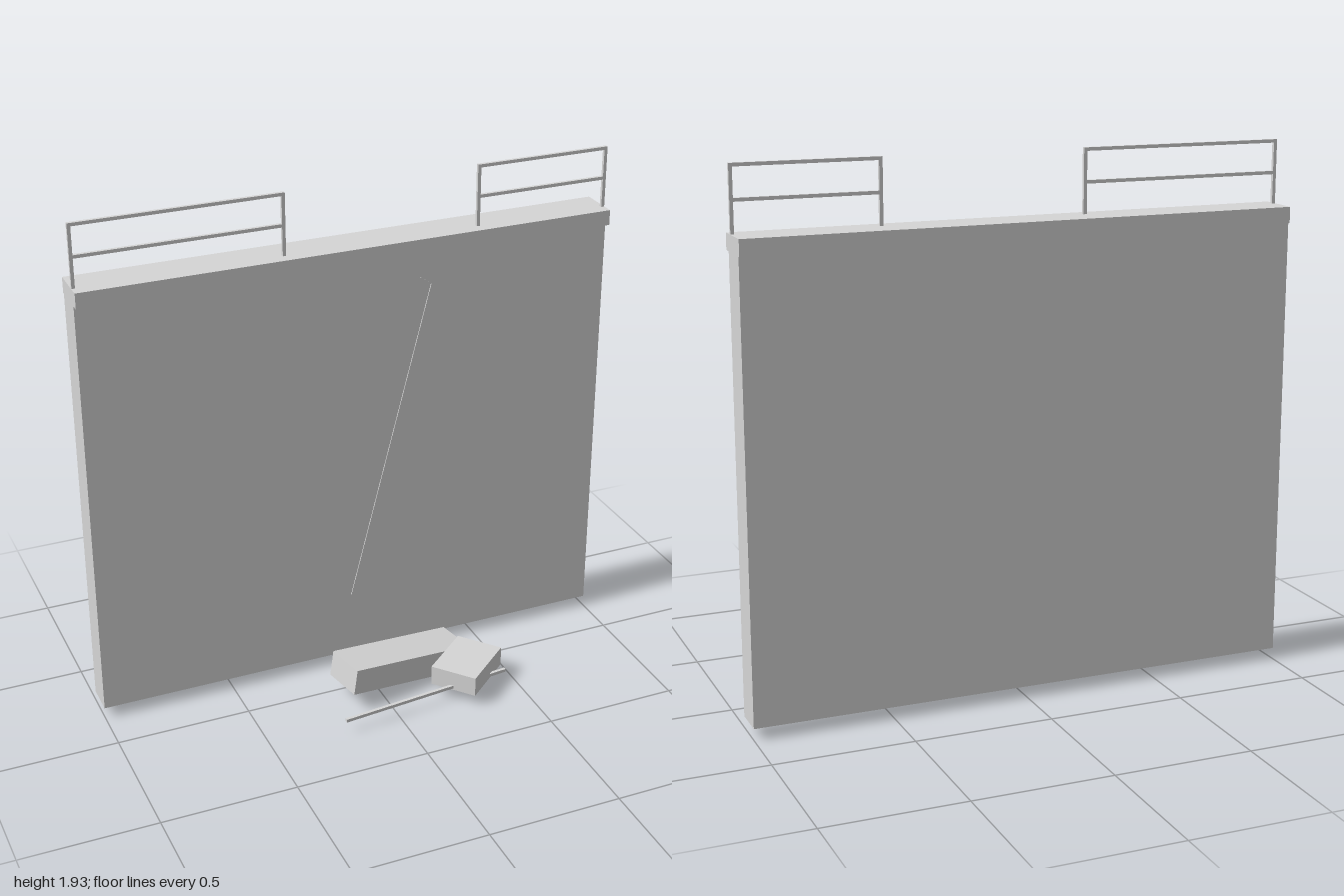
import * as THREE from 'three';

const concrete = new THREE.MeshStandardMaterial({ color: 0xd6d6d6 });
concrete.name = 'concrete grey';

export function createModel() {
  const model = new THREE.Group();
  model.name = 'brokenWall';

  // Box given by its size, centre and optional yaw / roll
  function box(name, size, pos, yaw = 0, roll = 0, parent = model) {
    const mesh = new THREE.Mesh(new THREE.BoxGeometry(...size), concrete);
    mesh.name = name;
    mesh.position.set(...pos);
    mesh.rotation.set(0, yaw, roll, 'YXZ');
    parent.add(mesh);
  }

  // Wall slab and overhanging coping
  box('wall', [2, 1.6, 0.12], [0, 0.843, -0.229]);
  box('coping', [2, 0.057, 0.158], [0, 1.671, -0.219]);

  // Two railing sections with a gap between them
  const t = 0.012, railZ = -0.188;
  for (const [name, x0, x1] of [['rightRailing', -0.993, -0.25], ['leftRailing', 0.488, 0.993]]) {
    const railing = new THREE.Group();
    railing.name = name;
    model.add(railing);
    for (const x of [x0, x1]) box('post', [t, 0.23, t], [x, 1.813, railZ], 0, 0, railing);
    for (const y of [1.922, 1.81]) {
      box('rail', [x1 - x0 + t, t, t], [(x0 + x1) / 2, y, railZ], 0, 0, railing);
    }
  }

  // Fine crack running up the front face
  const crack = new THREE.Group();
  crack.name = 'crack';
  model.add(crack);
  const path = [[-0.015, 0.296], [0.3, 1.515], [0.255, 1.547]];
  for (let i = 0; i < path.length - 1; i++) {
    const [ax, ay] = path[i], [bx, by] = path[i + 1];
    box('crackLine', [Math.hypot(bx - ax, by - ay), 0.002, 0.004],
      [(ax + bx) / 2, (ay + by) / 2, -0.167], 0, Math.atan2(by - ay, bx - ax), crack);
  }

  // Fallen rubble: tilted long block, small block and a loose bar
  box('longBlock', [0.516, 0.1, 0.162], [0.1, 0.089, 0.031], 0.193, -0.15);
  box('smallBlock', [0.237, 0.076, 0.18], [0.32, 0.081, 0.152], 0.696);
  box('looseBar', [0.682, t, t], [0.12, 0.055, 0.234], 0.101);

  return model;
}
